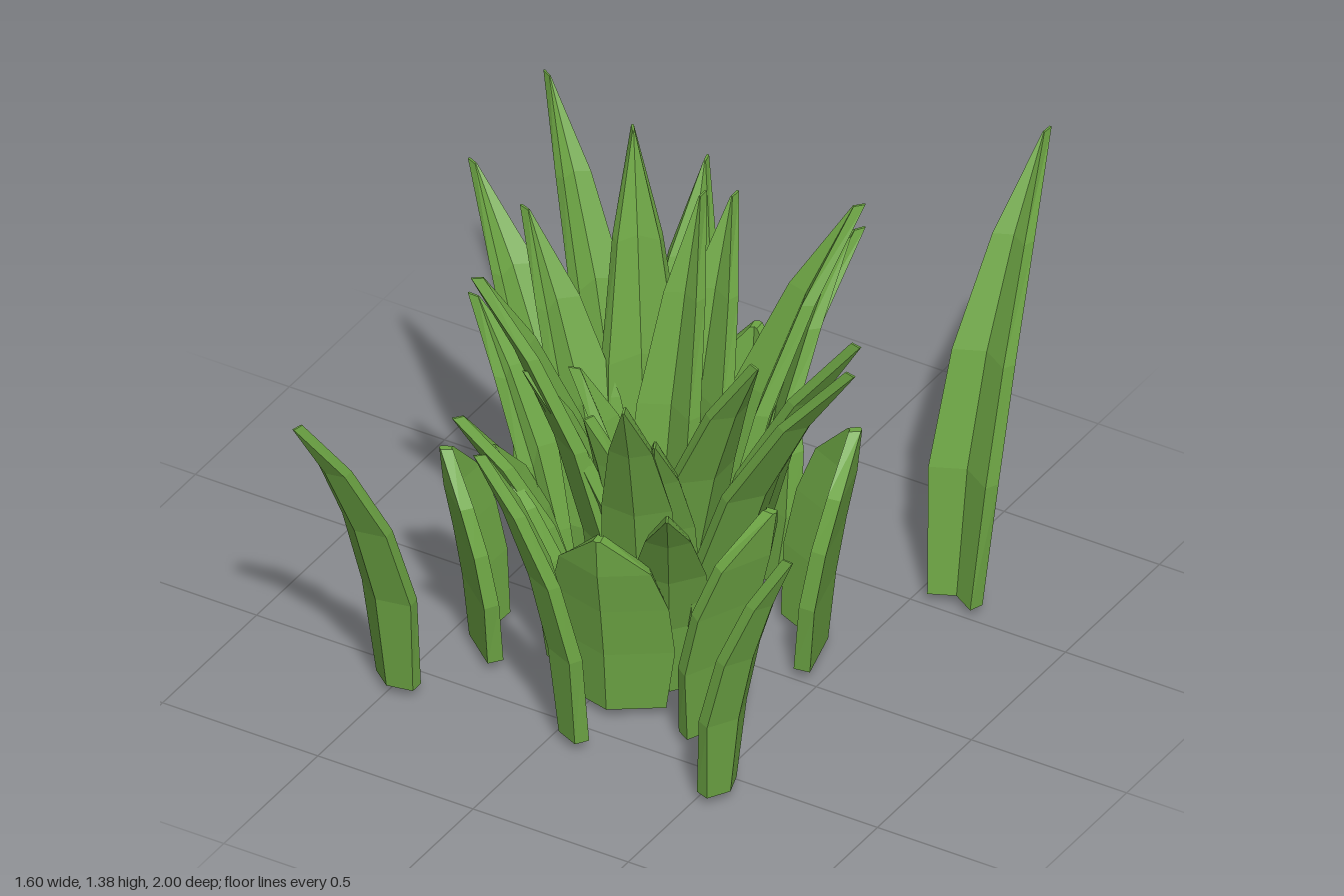
import * as THREE from 'three';

// Heights, outward bend and widths of a blade from base to tip, as fractions
const SLENDER = { rise: [0, 0.3, 0.56, 0.8, 1], bend: [0, 0.1, 0.32, 0.64, 1], width: [0.75, 1, 0.9, 0.56, 0.03] };
const BROAD = { rise: [0, 0.32, 0.58, 0.8, 1], bend: [0, 0.12, 0.36, 0.66, 1], width: [0.84, 1, 0.96, 0.76, 0.06] };

// A thick, folded blade, hollow towards the plant and curving outwards
function bladeGeometry([bx, by, bz], [tx, ty, tz], width, { rise, bend, width: taper }) {
  const len = Math.hypot(tx - bx, tz - bz);
  const dx = (tx - bx) / len, dz = (tz - bz) / len;
  const pos = [], index = [], last = rise.length - 1;
  rise.forEach((r, i) => {
    const w = (width * taper[i]) / 2;
    const fold = w * 0.45, thick = 0.042 - 0.008 * r;
    const cx = bx + (tx - bx) * bend[i], cz = bz + (tz - bz) * bend[i];
    const ring = [
      [-w, -fold / 2], [0, fold / 2], [w, -fold / 2],
      [w * 0.85, -fold / 2 - thick], [0, fold / 2 - thick], [-w * 0.85, -fold / 2 - thick],
    ];
    for (const [u, d] of ring) pos.push(cx + u * dz + d * dx, by + (ty - by) * r, cz - u * dx + d * dz);
  });
  const quad = (a, b, c, d) => index.push(a, b, c, a, c, d);
  for (let i = 0; i < last; i++) {
    for (let k = 0; k < 6; k++) {
      const n = (k + 1) % 6, lo = i * 6, hi = lo + 6;
      quad(lo + k, lo + n, hi + n, hi + k);
    }
  }
  // Base and tip caps
  quad(5, 4, 1, 0);
  quad(4, 3, 2, 1);
  const t = last * 6;
  quad(t, t + 1, t + 4, t + 5);
  quad(t + 1, t + 2, t + 3, t + 4);
  const g = new THREE.BufferGeometry();
  g.setAttribute('position', new THREE.Float32BufferAttribute(pos, 3));
  g.setIndex(index);
  const flat = g.toNonIndexed();
  flat.computeVertexNormals();
  return flat;
}

export function createModel() {
  const model = new THREE.Group();
  model.name = 'grassClump';
  const green = new THREE.MeshStandardMaterial({ color: 0x6da544, flatShading: true });
  green.name = 'grassGreen';

  // Each row: base x, z, tip x, y, z, width
  const addBlades = (name, rows, profile, baseY) => {
    const group = new THREE.Group();
    group.name = name;
    rows.forEach(([bx, bz, tx, ty, tz, w], i) => {
      const mesh = new THREE.Mesh(bladeGeometry([bx, baseY, bz], [tx, ty, tz], w, profile), green);
      mesh.name = `${name}${i + 1}`;
      group.add(mesh);
    });
    model.add(group);
  };

  // Single blades standing apart
  addBlades('outlyingBlade', [
    [0.625, -0.565, 0.65, 1.34, -1, 0.225],
    [-0.44, -0.48, -0.8, 1.19, -0.7, 0.18],
    [-0.49, 0.63, -0.58, 1.06, 1, 0.19],
    [0.04, 0.58, -0.15, 0.98, 0.75, 0.19],
    [0.57, 0.595, 0.8, 0.88, 0.62, 0.18],
  ], SLENDER, 0.03);

  // Short broad blades around the clump
  addBlades('broadBlade', [
    [0.39, 0.28, 0.54, 0.76, 0.28, 0.39],
    [0.4, -0.16, 0.5, 0.72, -0.24, 0.38],
    [0.08, 0.4, 0.1, 0.64, 0.51, 0.36],
    [-0.4, 0.3, -0.5, 0.65, 0.35, 0.33],
    [-0.41, -0.19, -0.5, 0.75, -0.25, 0.36],
    [0.02, -0.38, 0.0, 0.74, -0.52, 0.4],
    [-0.17, 0.27, -0.33, 0.74, 0.4, 0.32],
  ], BROAD, 0.03);

  // Tall blades of the clump
  addBlades('tallBlade', [
    [0.26, 0.05, 0.74, 1.31, 0.16, 0.23],
    [0.27, 0.16, 0.8, 1.31, 0.29, 0.23],
    [-0.25, 0.02, -0.74, 1.21, -0.2, 0.25],
    [-0.15, 0.04, -0.5, 1.21, -0.08, 0.25],
    [-0.1, 0.13, -0.4, 1.25, 0.35, 0.23],
    [-0.1, -0.08, -0.31, 1.38, -0.36, 0.25],
    [-0.1, -0.22, -0.2, 1.19, -0.58, 0.25],
    [0.13, -0.1, 0.41, 1.34, -0.41, 0.25],
    [0.13, -0.24, 0.29, 1.12, -0.53, 0.26],
    [0.06, -0.3, 0.27, 1.08, -0.64, 0.25],
    [0.1, 0.03, 0.41, 1.12, 0.16, 0.23],
    [0.07, 0.22, 0.18, 1.09, 0.5, 0.22],
    [0.18, 0.25, 0.34, 0.8, 0.53, 0.23],
    [-0.18, 0.25, -0.37, 0.88, 0.5, 0.22],
    [-0.24, 0.12, -0.56, 1.0, 0.1, 0.23],
    [-0.06, 0.12, -0.27, 0.95, 0.29, 0.22],
  ], SLENDER, 0.03);

  // Heart of the clump
  addBlades('centreBlade', [
    [0.03, 0.06, 0.03, 1.38, -0.19, 0.22],
    [0.03, -0.08, 0.03, 1.28, -0.36, 0.26],
    [0.06, 0.1, 0.16, 0.85, 0.3, 0.22],
    [-0.02, 0.12, -0.08, 0.85, 0.28, 0.22],
    [0.08, 0.0, 0.27, 0.85, 0.04, 0.22],
    [-0.04, 0.02, -0.25, 0.85, 0.08, 0.22],
  ], SLENDER, 0);

  return model;
}
